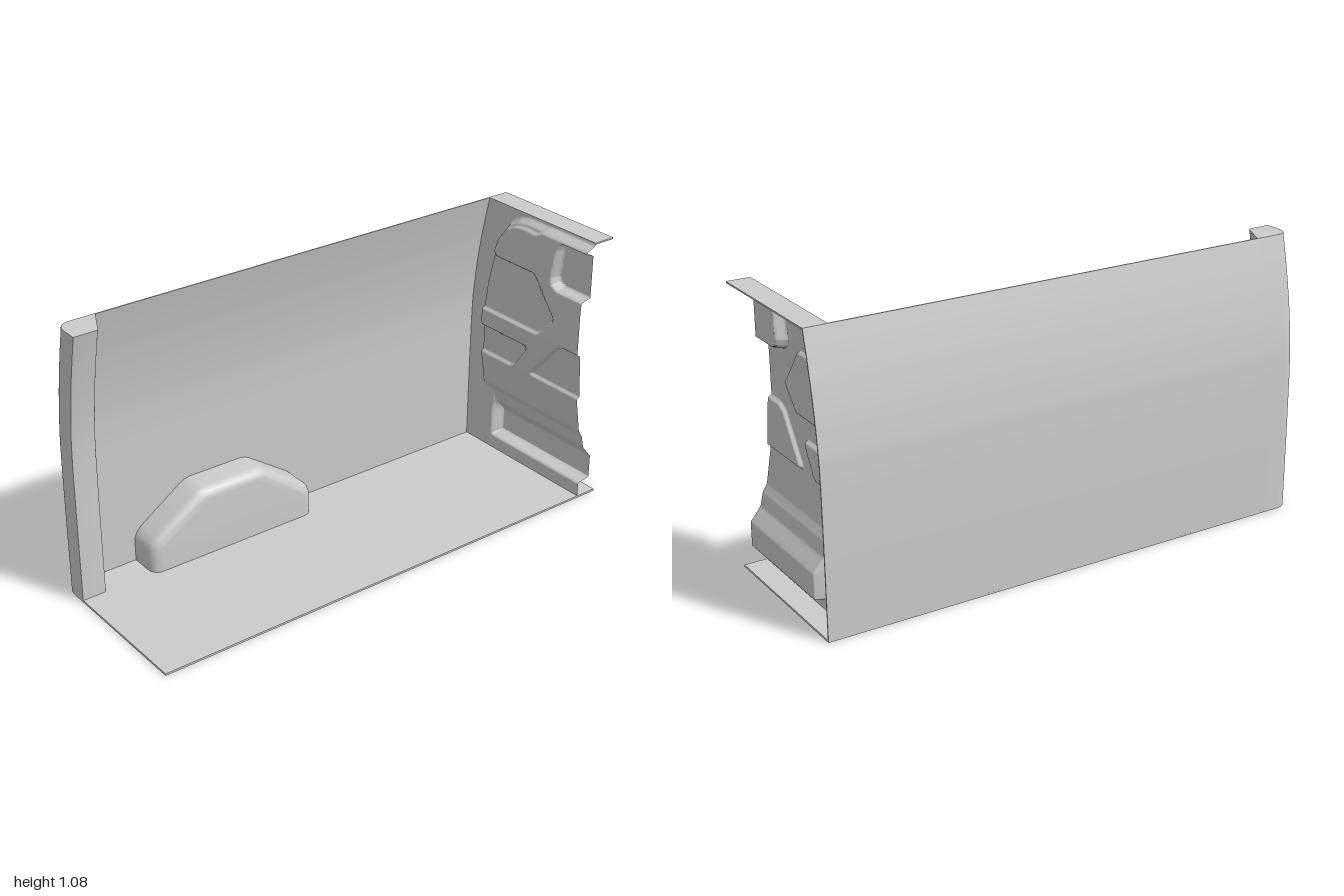
import * as THREE from 'three';
import { toCreasedNormals } from 'three/addons/utils/BufferGeometryUtils.js';

const H = 1.08;
const mat = new THREE.MeshStandardMaterial({ color: 0xcccccc, side: THREE.DoubleSide });

// piecewise-linear lookup in a list of [key, value]
function lerpTable(table, t) {
  if (t <= table[0][0]) return table[0][1];
  for (let i = 1; i < table.length; i++) {
    const [a, va] = table[i - 1], [b, vb] = table[i];
    if (t <= b) return va + (vb - va) * (t - a) / (b - a);
  }
  return table[table.length - 1][1];
}

// outward bow of the side wall: [height, x]
const WALL = [[0, -0.333], [0.3, -0.332], [0.55, -0.329], [0.65, -0.325], [0.74, -0.315],
  [0.82, -0.304], [0.9, -0.29], [0.99, -0.271], [H, -0.25]];
const wallX = (y) => lerpTable(WALL, y);

function addMesh(group, name, geometry) {
  const mesh = new THREE.Mesh(geometry, mat);
  mesh.name = name;
  group.add(mesh);
}

// plan outline (x, -z) raised upward, optionally following the wall bow
function rise(shape, y0, height, steps, followWall) {
  const g = new THREE.ExtrudeGeometry(shape, { depth: height, steps, bevelEnabled: false, curveSegments: 10 });
  g.rotateX(-Math.PI / 2).translate(0, y0, 0);
  if (followWall) {
    const p = g.attributes.position;
    for (let i = 0; i < p.count; i++) p.setX(i, p.getX(i) + wallX(p.getY(i)));
  }
  return toCreasedNormals(g, 0.5);
}

const outline = (pts) => new THREE.Shape(pts.map(([x, y]) => new THREE.Vector2(x, y)));

// distance inside a polygon (negative outside)
function inside(x, y, poly) {
  let d = Infinity, within = false;
  for (let i = 0, j = poly.length - 1; i < poly.length; j = i++) {
    const [ax, ay] = poly[j], [bx, by] = poly[i];
    const ex = bx - ax, ey = by - ay;
    const t = THREE.MathUtils.clamp(((x - ax) * ex + (y - ay) * ey) / (ex * ex + ey * ey), 0, 1);
    d = Math.min(d, Math.hypot(x - ax - ex * t, y - ay - ey * t));
    if ((ay > y) !== (by > y) && x < ax + ex * (y - ay) / ey) within = !within;
  }
  return within ? d : -d;
}
const mask = (x, y, poly, width) => THREE.MathUtils.smoothstep(inside(x, y, poly), 0, width);

// bulkhead relief: raised field, shallow pressings, deep window and lower trough
const FIELD = [[-0.24, 0.2], [-0.24, 0.4], [-0.235, 0.6], [-0.215, 0.75], [-0.182, 0.9], [-0.157, 0.97],
  [-0.115, 1.03], [-0.06, 1.063], [0, 1.072], [0.6, 1.072], [0.6, 0.2]];
const FIELD_Z = [[0.275, -0.91], [0.305, -0.893], [0.45, -0.869], [0.64, -0.856], [0.8, -0.856], [1.05, -0.868]];
const PRESSINGS = [
  [[-0.6, 0.637], [0.1, 0.637], [0.12, 0.645], [0.19, 0.72], [0.193, 0.74], [0.08, 0.878], [0.065, 0.885],
    [-0.14, 0.885], [-0.155, 0.9], [-0.145, 0.945], [-0.1, 1.0], [-0.05, 1.026], [0, 1.033], [0.06, 1.03],
    [0.09, 1.042], [0.105, 1.065], [0.105, 1.2], [-0.6, 1.2]],
  [[-0.6, 0.44], [-0.045, 0.441], [-0.02, 0.455], [0.05, 0.55], [0.045, 0.569], [-0.6, 0.57]],
  [[0.6, 0.64], [0.25, 0.64], [0.21, 0.622], [0.068, 0.46], [0.075, 0.447], [0.6, 0.445]],
];
const WINDOW = [[0.6, 0.85], [0.2, 0.85], [0.168, 0.866], [0.159, 0.895], [0.174, 1.01], [0.184, 1.035],
  [0.205, 1.044], [0.6, 1.045]];
const TROUGH = [[0.066, 0], [0.075, 0.055], [0.17, 0.055], [0.222, 0.013], [0.28, 0]];

function bulkheadZ(x, y) {
  const field = mask(x, y, FIELD, 0.026);
  let z = -0.91 + (lerpTable(FIELD_Z, y) + 0.91) * field;
  const press = Math.max(...PRESSINGS.map((p) => mask(x, y, p, 0.01)));
  z -= 0.014 * press * field;
  z = THREE.MathUtils.lerp(z, -0.903, mask(x, y, WINDOW, 0.014));
  return z - lerpTable(TROUGH, y) * THREE.MathUtils.smoothstep(x, -0.175, -0.165);
}

function bulkhead() {
  const g = new THREE.PlaneGeometry(1, 1, 130, 240);
  const p = g.attributes.position;
  for (let i = 0; i < p.count; i++) {
    const y = (p.getY(i) + 0.5) * H;
    const x = THREE.MathUtils.lerp(wallX(y) + 0.003, 0.333, p.getX(i) + 0.5);
    p.setXYZ(i, x, y, bulkheadZ(x, y));
  }
  g.computeVertexNormals();
  return g;
}

// wheel arch: side profile extruded inward with a rounded inner edge
function wheelArch() {
  const shape = outline([[-0.71, -0.15], [-0.71, 0.1], [-0.7, 0.125], [-0.68, 0.145], [-0.505, 0.265],
    [-0.485, 0.275], [-0.46, 0.279], [-0.24, 0.279], [-0.215, 0.275], [-0.195, 0.265], [-0.02, 0.145],
    [0, 0.125], [0.01, 0.1], [0.01, -0.15]]);
  const r = 0.04;
  const g = new THREE.ExtrudeGeometry(shape, {
    depth: 0.09, bevelEnabled: true, bevelSize: r, bevelThickness: r, bevelOffset: -r, bevelSegments: 6,
  });
  g.rotateY(Math.PI / 2).translate(-0.33, 0, 0);
  const p = g.attributes.position;
  for (let i = 0; i < p.count; i++) {
    p.setX(i, Math.max(p.getX(i), -0.33));
    p.setY(i, Math.max(p.getY(i), 0.004));
  }
  return toCreasedNormals(g, 0.6);
}

export function createModel() {
  const group = new THREE.Group();
  group.name = 'cargoBayHalf';

  // floor with one rounded corner
  const floor = new THREE.Shape();
  floor.moveTo(-0.333, 1);
  floor.lineTo(-0.333, -0.94);
  floor.quadraticCurveTo(-0.333, -1, -0.273, -1);
  floor.lineTo(0.333, -1);
  floor.lineTo(0.333, 1);
  addMesh(group, 'floor', rise(floor, 0, 0.008, 1, false));

  // thin bowed side wall
  const wall = outline([[0, 1], [0, -0.86], [0.005, -0.86], [0.005, 1]]);
  addMesh(group, 'sideWall', rise(wall, 0, H, 36, true));

  // pillar at the open end, following the wall
  const pillar = new THREE.Shape();
  pillar.moveTo(0, -0.85);
  pillar.lineTo(0, -0.94);
  pillar.quadraticCurveTo(0, -1, 0.06, -1);
  pillar.lineTo(0.12, -1);
  pillar.lineTo(0.12, -0.915);
  pillar.quadraticCurveTo(0.12, -0.907, 0.112, -0.903);
  pillar.lineTo(0.004, -0.85);
  addMesh(group, 'endPillar', rise(pillar, 0, H, 36, true));

  addMesh(group, 'wheelArch', wheelArch());
  addMesh(group, 'bulkhead', bulkhead());

  // flange along the bulkhead top
  const flange = new THREE.BoxGeometry(0.583, 0.006, 0.09);
  flange.translate(0.0415, H - 0.003, -0.955);
  addMesh(group, 'topFlange', flange);

  return group;
}
